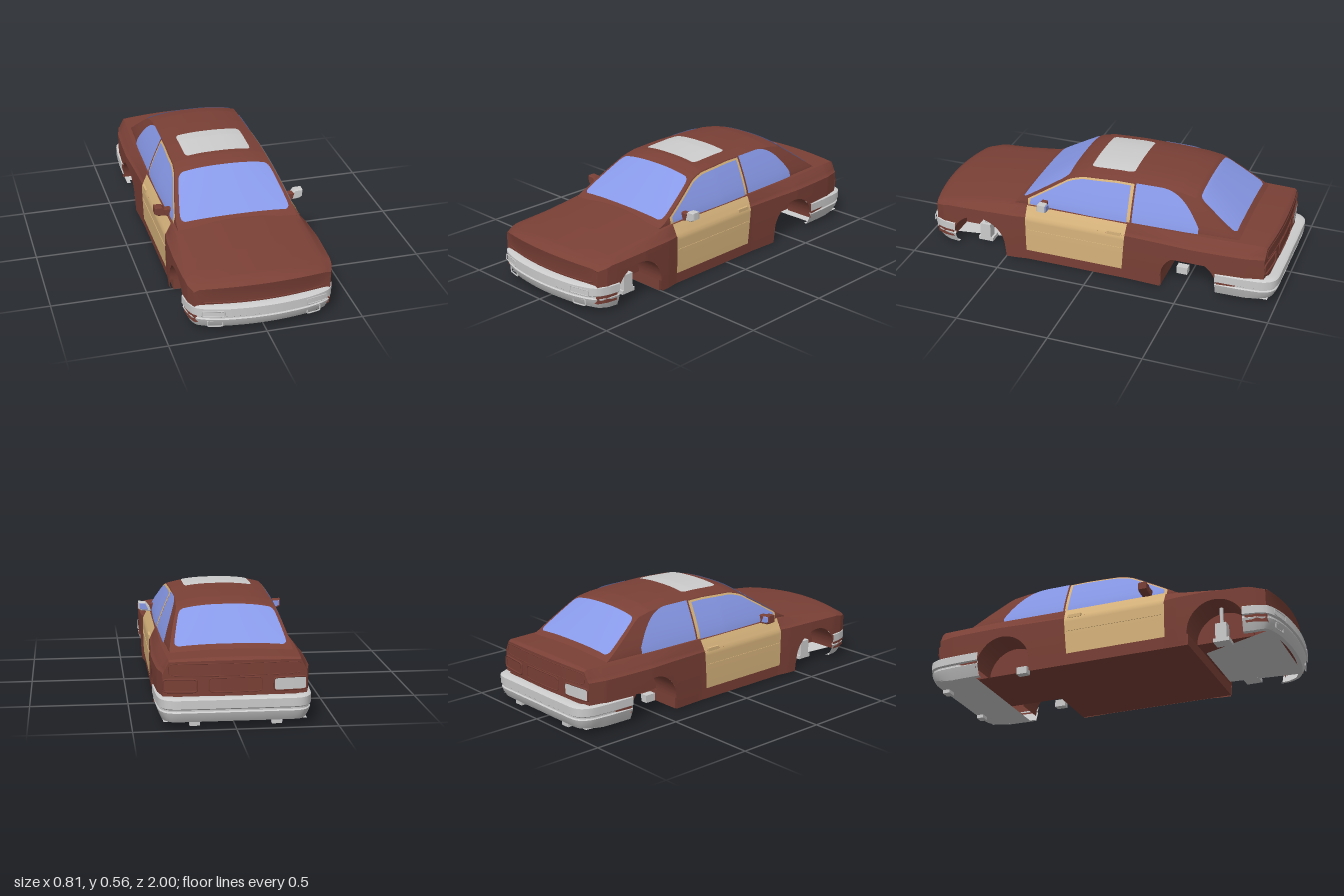
import * as THREE from 'three';
import { toCreasedNormals } from 'three/addons/utils/BufferGeometryUtils.js';

const paint = (color) => new THREE.MeshStandardMaterial({ color, side: THREE.DoubleSide });
const RED = paint(0x7a4036), TAN = paint(0xd8b47c), GLASS = paint(0x8899e8), GREY = paint(0xcccccc);
const clamp = THREE.MathUtils.clamp, lerp = THREE.MathUtils.lerp;

// Piecewise linear curve over [z, value] pairs, front to back
const curve = (pts) => (z) => {
  if (z >= pts[0][0]) return pts[0][1];
  for (let i = 1; i < pts.length; i++) {
    const [a, va] = pts[i - 1], [b, vb] = pts[i];
    if (z >= b) return lerp(vb, va, (z - b) / (a - b));
  }
  return pts[pts.length - 1][1];
};

// Lower body: half width, shoulder width, crease, shoulder and deck heights along z
const W = curve([[.965, .352], [.9, .372], [.8, .38], [.62, .385], [.45, .378], [.38, .367], [-.2, .367], [-.4, .376], [-.55, .385], [-.7, .381], [-.85, .373], [-.955, .352]]);
const E = curve([[.965, .325], [.8, .335], [0, .334], [-.6, .335], [-.955, .32]]);
const crease = curve([[.965, .235], [.85, .255], [.6, .265], [-.955, .27]]);
const belt = curve([[.965, .245], [.92, .258], [.85, .268], [.7, .285], [.43, .316], [.3, .325], [-.75, .33], [-.94, .33], [-.955, .322]]);
const deck = curve([[.965, .256], [.94, .274], [.9, .285], [.7, .312], [.45, .34], [-.7, .345], [-.935, .343], [-.955, .33]]);
// Cabin: roof line and width factor
const roof = curve([[.46, .332], [.43, .345], [.17, .52], [.14, .532], [.09, .545], [-.1, .555], [-.3, .553], [-.45, .545], [-.53, .53], [-.56, .512], [-.76, .36], [-.79, .338]]);
const cabinW = curve([[.46, .97], [0, 1], [-.5, .97], [-.79, .93]]);

const ARCHES = [.66, -.535], R = .155;
function lowerEdge(s) {
  for (const c of ARCHES) {
    const d = (s - c) / R;
    if (Math.abs(d) < 1) return .06 + R * Math.sqrt(1 - d * d);
  }
  return s > .8 ? .06 : s < -.6 ? .08 : 0;
}
const bow = (s) => (s > .82 ? .05 * (s - .82) / .145 : s < -.8 ? .025 * (s + .8) / .155 : 0);
const bend = (x, s) => s - bow(s) * (x / .36) ** 2;
function sideX(s, y) {
  const c = crease(s), w = W(s);
  if (y <= c) return w * (1 - .018 * ((c - y) / c) ** 2);
  const t = clamp((y - c) / (belt(s) - c), 0, 1);
  return lerp(w * .985, E(s), t ** 1.2);
}
const crown = (s) => .012 + .017 * clamp((roof(s) - .33) / .2, 0, 1);
const cabinX = (s, y) => cabinW(s) * (.328 - .078 * clamp((y - .33) / .195, 0, 1.1) ** 1.2);
function cabinTop(s, u) {
  const e = roof(s) - crown(s);
  return [u * cabinX(s, e), e + crown(s) * (1 - Math.abs(u) ** 2.5), s];
}

// Surface from a rule f(i/n, j/m) -> [x, y, z]
function sheet(n, m, f) {
  const pos = [], idx = [];
  for (let i = 0; i <= n; i++) for (let j = 0; j <= m; j++) {
    pos.push(...f(i / n, j / m));
    if (i < n && j < m) {
      const a = i * (m + 1) + j, b = a + m + 1;
      idx.push(a, b, a + 1, b, b + 1, a + 1);
    }
  }
  const g = new THREE.BufferGeometry();
  g.setAttribute('position', new THREE.Float32BufferAttribute(pos, 3));
  g.setIndex(idx);
  return toCreasedNormals(g, .6);
}

export function createModel() {
  const car = new THREE.Group();
  car.name = 'carBody';
  const add = (name, geo, mat) => {
    const m = new THREE.Mesh(geo, mat);
    m.name = name;
    car.add(m);
    return m;
  };
  const box = (name, mat, w, h, d, x, y, z) => {
    const m = add(name, new THREE.BoxGeometry(w, h, d), mat);
    m.position.set(x, y, z);
    return m;
  };
  // Thin rounded seam around a rectangle lying on z = zAt(x)
  const outline = (name, mat, x0, x1, y0, y1, zAt, r = .003) => {
    const pts = [], cx = (x0 + x1) / 2, cy = (y0 + y1) / 2;
    for (let i = 0; i < 64; i++) {
      const a = (i / 64) * Math.PI * 2, c = Math.cos(a), s = Math.sin(a);
      const x = cx + (x1 - x0) / 2 * Math.sign(c) * Math.abs(c) ** .25;
      pts.push(new THREE.Vector3(x, cy + (y1 - y0) / 2 * Math.sign(s) * Math.abs(s) ** .25, zAt(x)));
    }
    add(name, new THREE.TubeGeometry(new THREE.CatmullRomCurve3(pts, true), 96, r, 5, true), mat);
  };

  // Lower shell: sides with wheel arches, shoulders, bonnet and boot lid
  add('lowerBody', sheet(260, 44, (a, b) => {
    const s = lerp(-.955, .965, a), t = 22 * (1 - Math.abs(2 * b - 1)), sign = b <= .5 ? 1 : -1;
    const lo = lowerEdge(s), c = crease(s), top = belt(s);
    let x, y;
    if (t <= 7) { y = lerp(lo, c, t / 7); x = sideX(s, y); }
    else if (t <= 12) { y = lerp(c + .006, top, (t - 8) / 4); x = sideX(s, y); }
    else { const u = 1 - (t - 12) / 10; x = E(s) * u; y = top + (deck(s) - top) * (1 - u * u); }
    return [x * sign, y, bend(x, s)];
  }), RED);
  // Nose and tail panels
  const cap = (name, s, lo, dent) => add(name, sheet(24, 12, (a, v) => {
    const u = 2 * a - 1, y = lerp(lo, belt(s), v), x = u * sideX(s, y);
    const z = bend(x, s) - dent * Math.sin(Math.PI * v) * (1 - u ** 8);
    return [x, y + v * (deck(s) - belt(s)) * (1 - u * u), z];
  }), RED);
  cap('nosePanel', .965, .06, .012);
  cap('tailPanel', -.955, .08, 0);
  outline('grilleSeam', RED, -.325, .325, .165, .245, (x) => bend(x, .965) - .008);

  // Tail: one lamp fitted, one empty surround, and the plate recess
  const tailZ = (x) => bend(x, -.955) - .003;
  add('tailLamp', sheet(8, 1, (a, v) => {
    const x = lerp(-.345, -.19, a);
    return [x, lerp(.178, .235, v), tailZ(x) - .004];
  }), GREY);
  outline('lampSurround', RED, -.348, -.187, .175, .238, tailZ, .005);
  outline('lampSurround', RED, .187, .348, .175, .238, tailZ, .005);
  outline('plateRecess', RED, -.13, .13, .175, .245, tailZ);
  outline('bootLidSeam', RED, -.325, .325, .255, .315, tailZ, .002);

  // Floor and inner structure between the wheel wells
  box('floor', RED, .716, .062, .885, 0, .031, .0625);
  box('engineBay', RED, .42, .18, .45, 0, .15, .71);
  box('rearFloor', RED, .42, .2, .56, 0, .17, -.65);
  for (const side of [1, -1]) for (const c of ARCHES) {
    add('wheelWell', sheet(28, 1, (a, v) => {
      const th = a * Math.PI, z = c + R * Math.cos(th);
      return [side * lerp(.21, W(z) * .995, v), .06 + R * Math.sin(th), z];
    }), RED);
  }

  // Cabin shell, glass and sunroof
  add('cabin', sheet(170, 36, (a, b) => {
    const s = lerp(-.79, .46, a), t = 18 * (1 - Math.abs(2 * b - 1)), sign = b <= .5 ? 1 : -1;
    if (t >= 6) { const p = cabinTop(s, 1 - (t - 6) / 12); return [p[0] * sign, p[1], s]; }
    const y = lerp(.3, roof(s) - crown(s), t / 6);
    return [sign * cabinX(s, y), y, s];
  }), RED);
  const topPatch = (name, mat, s0, s1, uAt) => add(name, sheet(40, 24, (v, b) => {
    const s = lerp(s0, s1, v);
    const p = cabinTop(s, (2 * b - 1) * uAt(s) * (1 - .08 * Math.abs(2 * v - 1) ** 12));
    return [p[0], p[1] + .005, s];
  }), mat);
  topPatch('windscreen', GLASS, .175, .425, () => .93);
  topPatch('rearWindow', GLASS, -.55, -.758, () => .93);
  topPatch('sunroof', GREY, -.17, .07, (s) => .18 / cabinX(s, roof(s) - crown(s)));

  for (const side of [1, -1]) {
    // Side windows, with the door frame showing around the front one
    const pane = (name, mat, s0, s1, lo, topAt, off) => add(name, sheet(36, 8, (a, v) => {
      const s = lerp(s0, s1, a), y = lerp(lo, Math.max(lo, topAt(s)), v);
      return [side * (cabinX(s, y) + off), y, s];
    }), mat);
    const frameTop = (s) => Math.min(roof(s) - crown(s) - .004, .531);
    pane('doorFrame', TAN, .385, -.195, .318, frameTop, .003);
    pane('doorWindow', GLASS, .37, -.178, .327, (s) => frameTop(s) - .009, .006);
    pane('quarterWindow', GLASS, -.205, -.565, .33,
      (s) => .526 - .165 * clamp((-s - .33) / .235, 0, 1) ** 2.4, .004);

    // Door skin following the body side
    add('door', sheet(24, 16, (a, v) => {
      const y = lerp(.06, .325, v), s = lerp(.383, -.165 - .02 * v, a);
      return [side * (sideX(s, y) + .004), y, s];
    }), TAN);
    box('doorHandle', TAN, .012, .018, .075, side * .366, .272, -.12);
    box('sideTrim', TAN, .006, .006, .54, side * .37, .19, .105);

    // Door mirror: stalk, housing and glass
    const mirror = new THREE.Group();
    mirror.name = 'doorMirror';
    const slab = (name, pts, depth, mat, z) => {
      const g = new THREE.ExtrudeGeometry(new THREE.Shape(pts.map(([x, y]) => new THREE.Vector2(side * x, y))),
        { depth, bevelEnabled: true, bevelSize: .004, bevelThickness: .008, bevelSegments: 2 });
      const m = new THREE.Mesh(g, mat);
      m.name = name;
      m.position.z = z;
      mirror.add(m);
    };
    slab('mirrorStalk', [[.31, .362], [.355, .36], [.345, .328], [.325, .322]], .02, RED, .275);
    slab('mirrorHousing', [[.335, .326], [.385, .331], [.4, .34], [.4, .373], [.365, .372], [.345, .352]], .03, side > 0 ? GREY : RED, .262);
    slab('mirrorGlass', [[.352, .336], [.385, .338], [.394, .345], [.394, .367], [.366, .366]], .002, GLASS, .258);
    car.add(mirror);

    // Suspension pieces left in the wheel wells
    box('strutHub', GREY, .05, .09, .06, side * .27, .078, .66);
    box('strutFoot', GREY, .07, .02, .085, side * .26, .03, .66);
    const rod = add('strutRod', new THREE.CylinderGeometry(.01, .01, .11, 12), GREY);
    rod.position.set(side * .27, .16, .66);
    box('rearCaliper', GREY, .04, .04, .06, side * .25, .055, -.47);
    box('bumperFoot', GREY, .05, .02, .04, side * .2, .024, -.95);
  }

  // Bumpers: a stepped section swept round each end
  const section = [[.05, .155], [.012, .155], [0, .147], [0, .105], [.01, .098], [.01, .09], [.004, .084], [.012, .06], [.028, .022], [.05, .02]];
  const bumper = (name, half, dir) => {
    const pts = [...half, ...half.slice(0, -1).reverse().map(([x, z]) => [-x, z])];
    const path = new THREE.CatmullRomCurve3(pts.map(([x, z]) => new THREE.Vector3(x, 0, z)));
    const n = section.length - 1;
    add(name, sheet(70, n, (a, b) => {
      const p = path.getPoint(a), t = path.getTangent(a), [inset, y] = section[Math.round(b * n)];
      const drop = y < .03 ? .012 * clamp(Math.abs(p.z) / .1 - 8.5, 0, 1) : 0;
      return [p.x - dir * t.z * inset, y + drop, p.z + dir * t.x * inset];
    }), GREY);
  };
  bumper('frontBumper', [[.385, .8], [.374, .87], [.347, .925], [.25, .968], [.12, .989], [0, .995]], 1);
  bumper('rearBumper', [[.386, -.68], [.38, -.85], [.365, -.945], [.325, -.99], [.18, -1], [0, -1]], -1);
  const bumperZ = (x) => .995 - .027 * (x / .25) ** 2;
  for (const side of [1, -1]) {
    const span = (a, b) => (side > 0 ? [a, b] : [-b, -a]);
    outline('indicatorSurround', GREY, ...span(.212, .32), .106, .136, (x) => bumperZ(x) + .001, .003);
    outline('fogLampSurround', GREY, ...span(.218, .29), .043, .075, (x) => bumperZ(x) - .012, .004);
  }

  // Trays beneath each end
  add('frontTray', sheet(1, 1, (a, v) => [lerp(-.2, .2, a) * (1 + .5 * v), lerp(.01, .038, v), lerp(.55, .93, v)]), GREY);
  add('rearTray', sheet(1, 1, (a, v) => [lerp(-.35, .35, a), lerp(.022, .034, v), lerp(-.71, -.955, v)]), GREY);
  return car;
}
